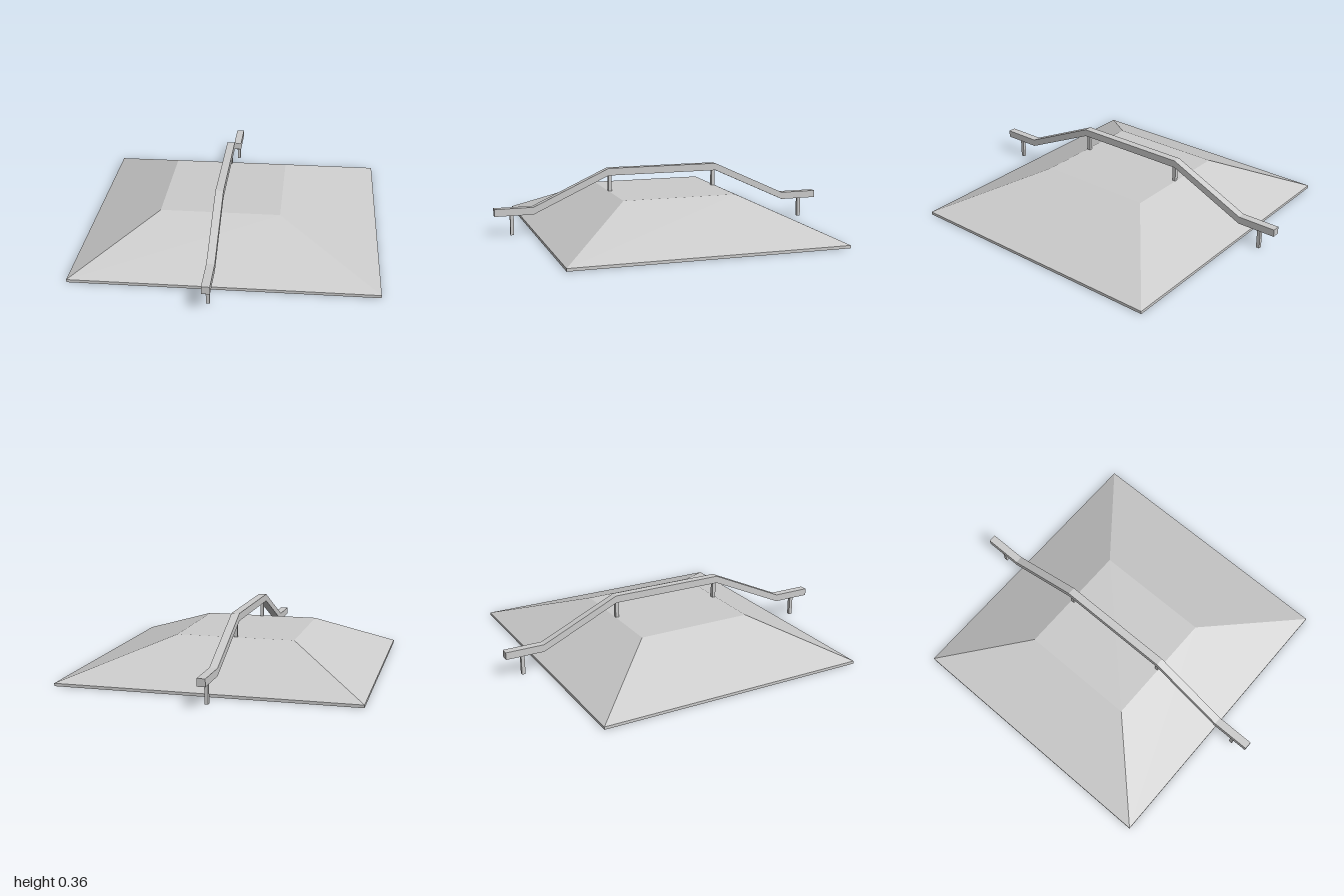
import * as THREE from 'three';

const BASE = { x0: -0.835, x1: 0.835, z: 0.777 };
const TOP = { x0: -0.39, x1: 0.28, z: 0.333 };
const SLAB_H = 0.016, HUMP_H = 0.225;
const RAIL_X = -0.058, RAIL_W = 0.045, RAIL_H = 0.042;
const RAIL_LOW = 0.115, RAIL_HIGH = 0.318;

export function createModel() {
  const group = new THREE.Group();
  const material = new THREE.MeshStandardMaterial({ color: 0xcccccc, flatShading: true });
  const add = (name, geometry, x = 0, y = 0, z = 0) => {
    const mesh = new THREE.Mesh(geometry, material);
    mesh.name = name;
    mesh.position.set(x, y, z);
    group.add(mesh);
    return mesh;
  };

  // Thin slab under the ramps
  add('baseSlab', new THREE.BoxGeometry(BASE.x1 - BASE.x0, SLAB_H, BASE.z * 2), 0, SLAB_H / 2, 0);

  // Four-sided ramp: a unit box whose top corners are drawn in to the flat deck
  const hump = new THREE.BoxGeometry(1, 1, 1);
  const p = hump.attributes.position;
  for (let i = 0; i < p.count; i++) {
    const upper = p.getY(i) > 0;
    const ring = upper ? TOP : BASE;
    p.setXYZ(i, p.getX(i) < 0 ? ring.x0 : ring.x1, upper ? HUMP_H : SLAB_H, Math.sign(p.getZ(i)) * ring.z);
  }
  hump.computeVertexNormals();
  add('rampHump', hump);

  // Bent rail following the ramp, extruded across its width
  const path = [[-1, RAIL_LOW], [-BASE.z, RAIL_LOW], [-TOP.z, RAIL_HIGH],
    [TOP.z, RAIL_HIGH], [BASE.z, RAIL_LOW], [1, RAIL_LOW]];
  const outline = [...path, ...path.map(([z, y]) => [z, y + RAIL_H]).reverse()];
  const shape = new THREE.Shape(outline.map(([z, y]) => new THREE.Vector2(z, y)));
  const rail = new THREE.ExtrudeGeometry(shape, { depth: RAIL_W, bevelEnabled: false });
  rail.translate(0, 0, -RAIL_W / 2).rotateY(-Math.PI / 2);
  add('grindRail', rail, RAIL_X);

  // Posts: one pair on the ground, one pair on the deck
  const post = (name, y0, y1, z) =>
    add(name, new THREE.BoxGeometry(0.02, y1 - y0, 0.02), RAIL_X, (y0 + y1) / 2, z);
  for (const [side, s] of [['front', 1], ['back', -1]]) {
    post(side + 'GroundPost', 0, RAIL_LOW, s * 0.9);
    post(side + 'DeckPost', HUMP_H, RAIL_HIGH, s * 0.322);
  }
  return group;
}
